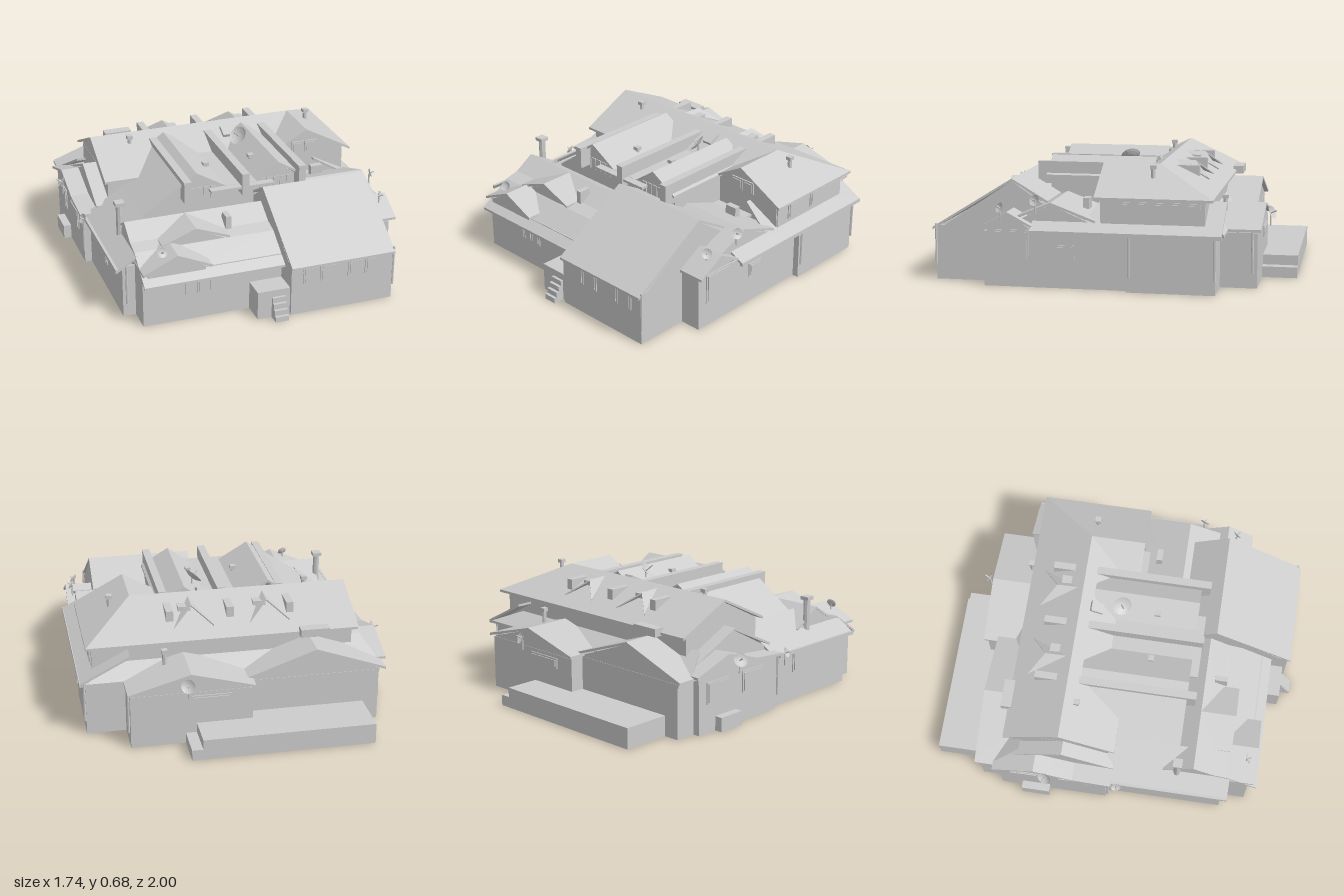
import * as THREE from 'three';

const mat = new THREE.MeshStandardMaterial({ color: 0xcccccc, side: THREE.DoubleSide, flatShading: true });

export function createModel() {
  const model = new THREE.Group();
  model.name = 'house';

  const add = (name, geo, x = 0, y = 0, z = 0) => {
    const m = new THREE.Mesh(geo, mat);
    m.name = name;
    m.position.set(x, y, z);
    model.add(m);
    return m;
  };
  // Box given by its limits on each axis
  const box = (name, x0, x1, y0, y1, z0, z1) =>
    add(name, new THREE.BoxGeometry(x1 - x0, y1 - y0, z1 - z0), (x0 + x1) / 2, (y0 + y1) / 2, (z0 + z1) / 2);

  // Extrude an outline of [across, height] points along 'x' or 'z'
  const prism = (name, axis, pts, from, to) => {
    const s = axis === 'x' ? -1 : 1;
    const shape = new THREE.Shape(pts.map(([a, y]) => new THREE.Vector2(a * s, y)));
    const geo = new THREE.ExtrudeGeometry(shape, { depth: to - from, bevelEnabled: false });
    geo.translate(0, 0, from);
    if (axis === 'x') geo.rotateY(Math.PI / 2);
    return add(name, geo);
  };
  // Folded roof of constant thickness; gable panels close the listed ends down to wallY
  const roof = (name, axis, profile, from, to, wallY, ends, t = 0.014) => {
    const under = profile.map(([a, y]) => [a, y - t]).reverse();
    prism(name, axis, [...profile, ...under], from, to);
    const last = under.length - 1;
    const sgn = Math.sign(under[0][0] - under[last][0]);
    const inner = under.map(([a, y], i) => [i === 0 ? a - 0.03 * sgn : i === last ? a + 0.03 * sgn : a, y]);
    const panel = [...inner, [inner[last][0], wallY], [inner[0][0], wallY]];
    ends.forEach(e => prism(name + 'GableWall', axis, panel, e - 0.006, e + 0.006));
  };
  // Sloping plate from its top corners, with a thin edge
  const plate = (name, pts, t = 0.014) => {
    const n = pts.length, pos = [], idx = [];
    pts.forEach(p => pos.push(...p));
    pts.forEach(([x, y, z]) => pos.push(x, y - t, z));
    for (let i = 0; i < n; i++) {
      const j = (i + 1) % n;
      if (i > 0 && i < n - 1) idx.push(0, i, i + 1, n, n + i + 1, n + i);
      idx.push(i, n + i, j, j, n + i, n + j);
    }
    const g = new THREE.BufferGeometry();
    g.setAttribute('position', new THREE.Float32BufferAttribute(pos, 3));
    g.setIndex(idx);
    const flat = g.toNonIndexed();
    flat.computeVertexNormals();
    return add(name, flat);
  };
  // Upright wall between two ground points
  const wall = (name, [x0, z0], [x1, z1], y0, y1, t = 0.012) => {
    const m = add(name, new THREE.BoxGeometry(Math.hypot(x1 - x0, z1 - z0) + t, y1 - y0, t),
      (x0 + x1) / 2, (y0 + y1) / 2, (z0 + z1) / 2);
    m.rotation.y = -Math.atan2(z1 - z0, x1 - x0);
  };
  const wallLoop = (name, pts, y0, y1) => pts.forEach((p, i) => wall(name, p, pts[(i + 1) % pts.length], y0, y1));

  // Outer walls, open below
  wallLoop('outerWall', [[-0.68, 0.8], [0.1, 0.8], [0.1, 0.945], [0.68, 0.945], [0.68, 0.64], [0.8, 0.64],
    [0.8, -0.14], [0.835, -0.14], [0.835, -0.6], [0.62, -0.6], [0.62, -0.8], [-0.03, -0.8], [-0.03, -0.72],
    [-0.75, -0.72], [-0.75, -0.6], [-0.79, -0.6], [-0.79, 0], [-0.75, 0], [-0.75, 0.66], [-0.68, 0.66]], 0, 0.3);
  // Room partitions
  for (const z of [-0.5, -0.25, 0.02, 0.3, 0.6]) wall('partition', [-0.74, z], [0.79, z], 0, 0.28, 0.006);
  for (const x of [-0.5, -0.2, 0.1, 0.4]) wall('partition', [x, -0.7], [x, 0.79], 0, 0.28, 0.006);
  wall('partition', [0.62, -0.6], [0.62, 0.64], 0, 0.28, 0.006);
  // Upper storey walls
  wallLoop('upperWall', [[-0.64, -0.54], [0.79, -0.54], [0.79, 0], [-0.64, 0]], 0.3, 0.5);
  wall('upperWall', [0.37, 0], [0.37, 0.37], 0.33, 0.54);

  // Upper roof: hipped at the back corner, front-facing gable on the left
  plate('upperRoofBack', [[-0.67, 0.65, -0.27], [0.55, 0.65, -0.27], [0.83, 0.5, -0.59], [-0.67, 0.5, -0.59]]);
  plate('upperRoofSide', [[0.55, 0.65, -0.27], [0.55, 0.65, 0.04], [0.83, 0.5, 0.04], [0.83, 0.5, -0.59]]);
  plate('upperRoofInnerSide', [[0.55, 0.65, 0.04], [0.55, 0.65, -0.27], [0.32, 0.52, -0.02], [0.32, 0.52, 0.04]]);
  plate('upperRoofFront', [[0.55, 0.65, -0.27], [-0.67, 0.65, -0.27], [-0.67, 0.5, 0.04], [0.32, 0.5, 0.04]]);
  prism('upperGableWall', 'z', [[0.34, 0.3], [0.79, 0.3], [0.79, 0.51], [0.55, 0.636], [0.34, 0.51]], 0.0, 0.012);
  prism('upperEndWall', 'x', [[-0.54, 0.3], [-0.54, 0.51], [-0.27, 0.636], [0, 0.5], [0, 0.3]], -0.645, -0.633);

  // Twin gables with a valley, running to the front
  roof('twinGableRoof', 'z', [[-0.58, 0.43], [-0.25, 0.65], [-0.08, 0.55], [0.1, 0.55], [0.23, 0.645], [0.39, 0.55]],
    -0.2, 0.4, 0.33, [0.37]);
  box('valleyRoof', -0.18, 0.19, 0.535, 0.549, 0.4, 0.445);
  for (const x of [-0.315, 0.02, 0.355]) {
    box('parapet', x - 0.02, x + 0.02, 0.5, 0.62, -0.46, 0.45);
    box('parapetCap', x - 0.022, x + 0.022, 0.615, 0.625, -0.2, 0.452);
  }
  for (const c of [-0.22, 0.23]) for (let i = 0; i < 5; i++)
    box('clerestoryPane', c - 0.1 + i * 0.04, c - 0.07 + i * 0.04, 0.48, 0.55, 0.37, 0.382);

  // Lower roofs around the house
  plate('westSkirtRoof', [[-0.79, 0.3, 0], [-0.56, 0.445, 0], [-0.56, 0.445, 0.48],
    [-0.68, 0.37, 0.48], [-0.68, 0.37, 0.7], [-0.79, 0.3, 0.7]]);
  plate('eastSkirtRoof', [[0.87, 0.32, -0.64], [0.6, 0.46, -0.64], [0.6, 0.46, 0.04],
    [0.79, 0.36, 0.1], [0.79, 0.36, 0.38], [0.87, 0.32, 0.38]]);
  plate('middleSkirtRoof', [[0.37, 0.38, 0.02], [0.62, 0.38, 0.02], [0.62, 0.38, 0.5], [0.37, 0.38, 0.5]]);
  plate('backSkirtRoof', [[-0.7, 0.42, -0.5], [0.6, 0.42, -0.5], [0.84, 0.32, -0.65], [-0.78, 0.32, -0.65]]);
  // West roofs: a tall gable with a lower one in front of it
  roof('westTallGableRoof', 'x', [[-0.62, 0.33], [-0.25, 0.5], [0.04, 0.36]], -0.725, -0.5, 0.28, [-0.71]);
  roof('westGableRoof', 'x', [[-0.64, 0.33], [-0.4, 0.41], [-0.18, 0.34], [0.04, 0.32]], -0.82, -0.68, 0.28, [-0.79]);
  roof('eastGableRoof', 'x', [[0.04, 0.37], [0.28, 0.46], [0.5, 0.37]], 0.37, 0.8, 0.3, [0.785]);
  roof('cornerGableRoof', 'x', [[0.37, 0.335], [0.51, 0.41], [0.66, 0.325]], 0.67, 0.84, 0.28, [0.8]);
  roof('backWideGableRoof', 'z', [[-0.79, 0.32], [-0.4, 0.46], [0.0, 0.32]], -0.745, -0.4, 0.28, [-0.718]);
  roof('backGableRoof', 'z', [[-0.05, 0.32], [0.3, 0.415], [0.64, 0.32]], -0.825, -0.5, 0.28, [-0.798]);

  // Front roofs
  roof('frontWingRoof', 'x', [[0.97, 0.29], [0.52, 0.568], [0.32, 0.45]], 0.09, 0.69, 0.28, [0.1, 0.68]);
  roof('frontLeftRoof', 'x', [[0.86, 0.26], [0.68, 0.38], [0.6, 0.4], [0.49, 0.47], [0.32, 0.37]], -0.69, 0.1, 0.28, [-0.68]);
  roof('entryGableRoof', 'z', [[-0.54, 0.398], [-0.35, 0.47], [-0.16, 0.398]], 0.49, 0.69, 0.36, [0.67]);
  roof('lowerGableRoof', 'z', [[-0.69, 0.325], [-0.5, 0.41], [-0.31, 0.325]], 0.62, 0.84, 0.27, [0.81]);

  // Small dormers and skylights on the back slope
  for (const x of [-0.19, 0.23]) {
    plate('dormerRoof', [[x, 0.635, -0.3], [x, 0.63, -0.42], [x - 0.11, 0.545, -0.51]], 0.008);
    plate('dormerRoof', [[x, 0.635, -0.3], [x + 0.11, 0.545, -0.51], [x, 0.63, -0.42]], 0.008);
    box('dormerWindow', x, x + 0.07, 0.56, 0.615, -0.4, -0.33);
  }
  box('ventCurb', -0.5, -0.34, 0.48, 0.525, -0.63, -0.57);
  box('skylight', 0.1, 0.16, 0.595, 0.625, -0.215, -0.14).rotation.x = 0.45;

  // Terrace, porch and steps
  box('terrace', -0.67, 0.27, 0, 0.115, -1, -0.73);
  box('terraceStep', 0.27, 0.33, 0, 0.06, -1, -0.73);
  box('porch', -0.09, 0.1, 0, 0.16, 0.8, 0.935);
  for (let i = 0; i < 4; i++) box('step', -0.01, 0.065, 0, 0.12 - i * 0.03, 0.93, 0.95 + i * 0.0165);

  // Windows: frame with a raised pane, facing along z or x
  const windowZ = (x0, x1, y0, y1, z, n = 1) => {
    for (let i = 0; i < n; i++) {
      const a = x0 + (x1 - x0) * i / n, b = x0 + (x1 - x0) * (i + 1) / n - 0.004;
      box('windowFrame', a, b, y0, y1, z - 0.012, z + 0.012);
      box('windowPane', a + 0.01, b - 0.01, y0 + 0.01, y1 - 0.01, z - 0.017, z + 0.017);
    }
  };
  const windowX = (x, z0, z1, y0, y1) => {
    box('windowFrame', x - 0.012, x + 0.012, y0, y1, z0, z1);
    box('windowPane', x - 0.017, x + 0.017, y0 + 0.01, y1 - 0.01, z0 + 0.01, z1 - 0.01);
  };
  windowZ(0.16, 0.36, 0.18, 0.28, 0.945, 2);
  windowZ(0.42, 0.62, 0.18, 0.28, 0.945, 2);
  windowZ(-0.45, -0.26, 0.15, 0.25, 0.8, 3);
  windowZ(0.47, 0.63, 0.5, 0.57, 0.008, 2);
  windowZ(0.08, 0.3, 0.22, 0.28, -0.8);
  windowX(0.8, 0.4, 0.59, 0.14, 0.31);
  windowX(0.8, 0.15, 0.25, 0.155, 0.235);
  windowX(0.79, -0.52, -0.27, 0.38, 0.475);
  windowX(0.79, -0.24, -0.08, 0.38, 0.475);
  for (const z of [-0.55, -0.27]) windowX(-0.79, z, z + 0.17, 0.16, 0.28);
  windowX(-0.75, 0.2, 0.37, 0.16, 0.28);
  box('sideBay', -0.84, -0.79, 0, 0.08, -0.48, -0.32);

  // Drainpipes and eave gutters
  for (const [x, z] of [[0.848, -0.15], [0.848, -0.605], [0.633, -0.78], [-0.8, 0.02], [-0.735, 0.675], [0.69, 0.95]])
    add('drainpipe', new THREE.CylinderGeometry(0.007, 0.007, 0.23, 6), x, 0.195, z);
  box('gutter', 0.855, 0.875, 0.3, 0.32, -0.64, 0.38);
  box('gutter', -0.8, -0.785, 0.285, 0.305, 0.04, 0.7);

  // Chimney and roof vents
  const vent = (x, y, z, h, r = 0.012) => {
    add('ventPipe', new THREE.CylinderGeometry(r, r, h, 8), x, y - h / 2, z);
    box('ventCap', x - r * 1.35, x + r * 1.35, y - 0.02, y, z - r * 1.35, z + r * 1.35);
  };
  vent(-0.69, 0.55, 0.4, 0.2, 0.019);
  vent(-0.455, 0.66, -0.2, 0.1);
  vent(0.66, 0.655, -0.25, 0.1);
  vent(-0.12, 0.6, 0.17, 0.08);
  vent(0.15, 0.61, 0.17, 0.08);
  vent(0.41, 0.47, -0.61, 0.12);
  vent(0.51, 0.42, 0.34, 0.06);
  box('roofDuct', 0.54, 0.61, 0.4, 0.46, 0.11, 0.145);
  box('roofDuct', -0.155, -0.125, 0.38, 0.47, 0.545, 0.615);

  // Satellite dishes, each turned toward its own direction
  const dish = (x, y, z, r, dx, dy, dz) => {
    const g = new THREE.Group();
    g.name = 'dish';
    const bowl = [0, 0.4, 0.75, 1].map(t => new THREE.Vector2(t * r + 1e-4, t * t * r * 0.3));
    const parts = [new THREE.LatheGeometry(bowl, 14), new THREE.CylinderGeometry(0.004, 0.004, r, 5).translate(0, r * 0.5, 0)];
    parts.forEach(p => g.add(new THREE.Mesh(p, mat)));
    g.quaternion.setFromUnitVectors(new THREE.Vector3(0, 1, 0), new THREE.Vector3(dx, dy, dz).normalize());
    g.position.set(x, y, z);
    model.add(g);
    add('dishMast', new THREE.CylinderGeometry(0.005, 0.005, 0.07, 5), x, y - 0.035, z);
  };
  dish(0.16, 0.63, -0.04, 0.055, -0.8, 0.8, 0.4);
  dish(-0.83, 0.36, -0.33, 0.04, -0.8, 0.5, -0.3);
  dish(-0.81, 0.31, 0.07, 0.028, -1, 0.5, 0.3);
  dish(-0.57, 0.41, 0.78, 0.028, 0.2, 0.5, 1);
  dish(0.78, 0.42, 0.56, 0.028, 0.7, 0.4, 0.6);
  dish(0.81, 0.47, 0.36, 0.03, 1, 0.4, 0.4);
  dish(0.32, 0.36, -0.85, 0.038, 0.4, 0.5, -1);

  return model;
}
